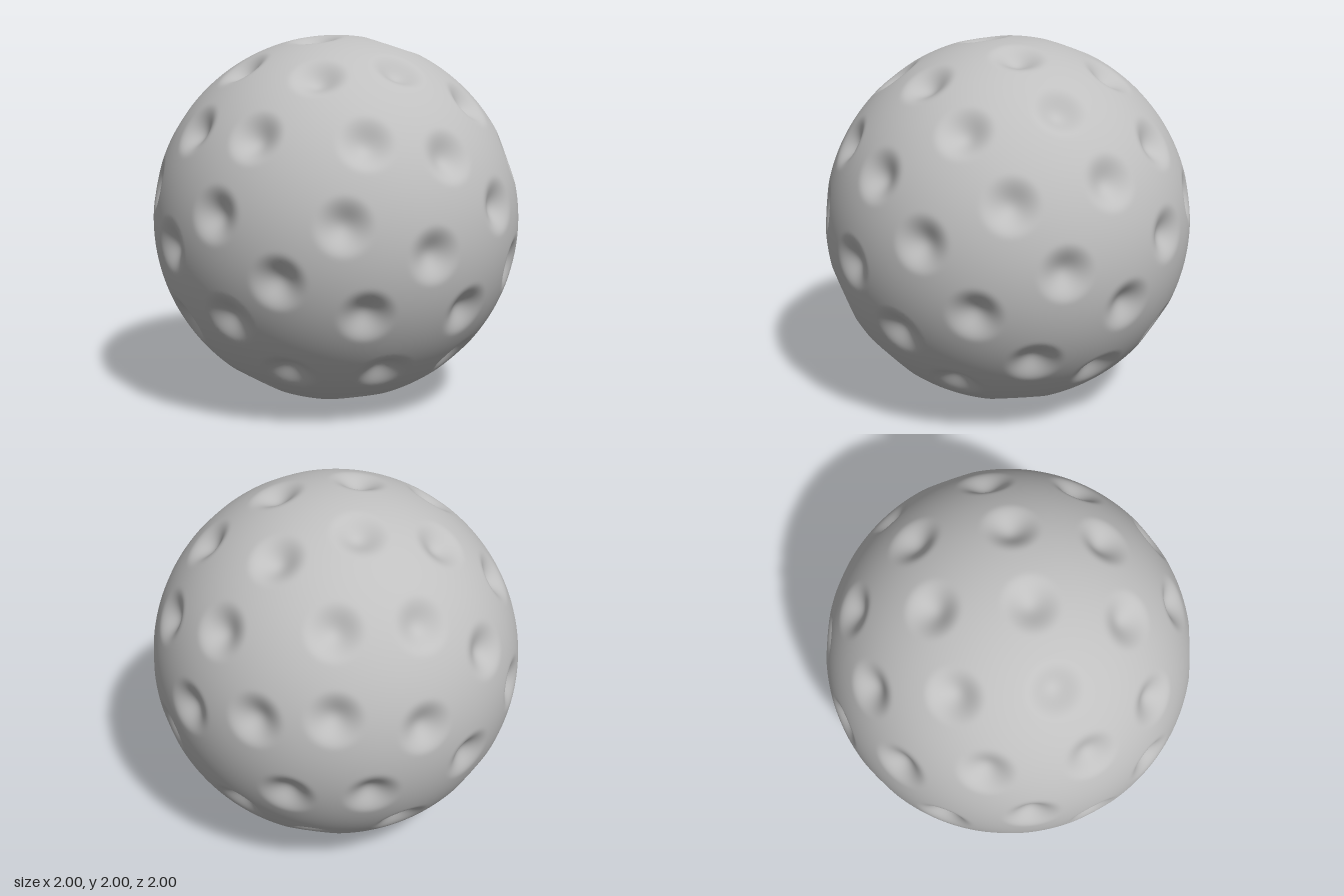
import * as THREE from 'three';
import { mergeVertices } from 'three/addons/utils/BufferGeometryUtils.js';

const DIMPLES = 60;
const DIMPLE_RADIUS = 0.16; // angular, on the unit ball
const DIMPLE_DEPTH = 0.06;

// Dimple directions on a golden-angle spiral running front to back
function dimpleCentres() {
  const centres = [];
  for (let i = 0; i < DIMPLES; i++) {
    const z = 1 - (2 * (i + 0.5)) / DIMPLES;
    const r = Math.sqrt(1 - z * z);
    const a = Math.PI * (1 + Math.sqrt(5)) * (i + 0.5);
    centres.push(new THREE.Vector3(r * Math.cos(a), r * Math.sin(a), z));
  }
  return centres;
}

// Evenly divided ball, pushed inwards by a soft cosine bowl at each dimple
function dimpledBall() {
  let geo = new THREE.IcosahedronGeometry(1, 72);
  geo.deleteAttribute('uv');
  geo.deleteAttribute('normal');
  geo = mergeVertices(geo, 1e-5);
  const centres = dimpleCentres();
  const pos = geo.attributes.position;
  const p = new THREE.Vector3();
  for (let i = 0; i < pos.count; i++) {
    p.fromBufferAttribute(pos, i).normalize();
    let depth = 0;
    for (const c of centres) {
      const t = Math.acos(Math.min(1, p.dot(c))) / DIMPLE_RADIUS;
      if (t < 1) depth = Math.max(depth, DIMPLE_DEPTH * 0.5 * (1 + Math.cos(Math.PI * t)));
    }
    p.multiplyScalar(1 - depth);
    pos.setXYZ(i, p.x, p.y, p.z);
  }
  geo.computeVertexNormals();
  return geo;
}

export function createModel() {
  const group = new THREE.Group();
  group.name = 'dimpledBall';
  const grey = new THREE.MeshStandardMaterial({ color: 0xc0c0c0 });
  grey.name = 'light grey';
  const ball = new THREE.Mesh(dimpledBall(), grey);
  ball.name = 'ball';
  ball.position.y = 1;
  group.add(ball);
  return group;
}
